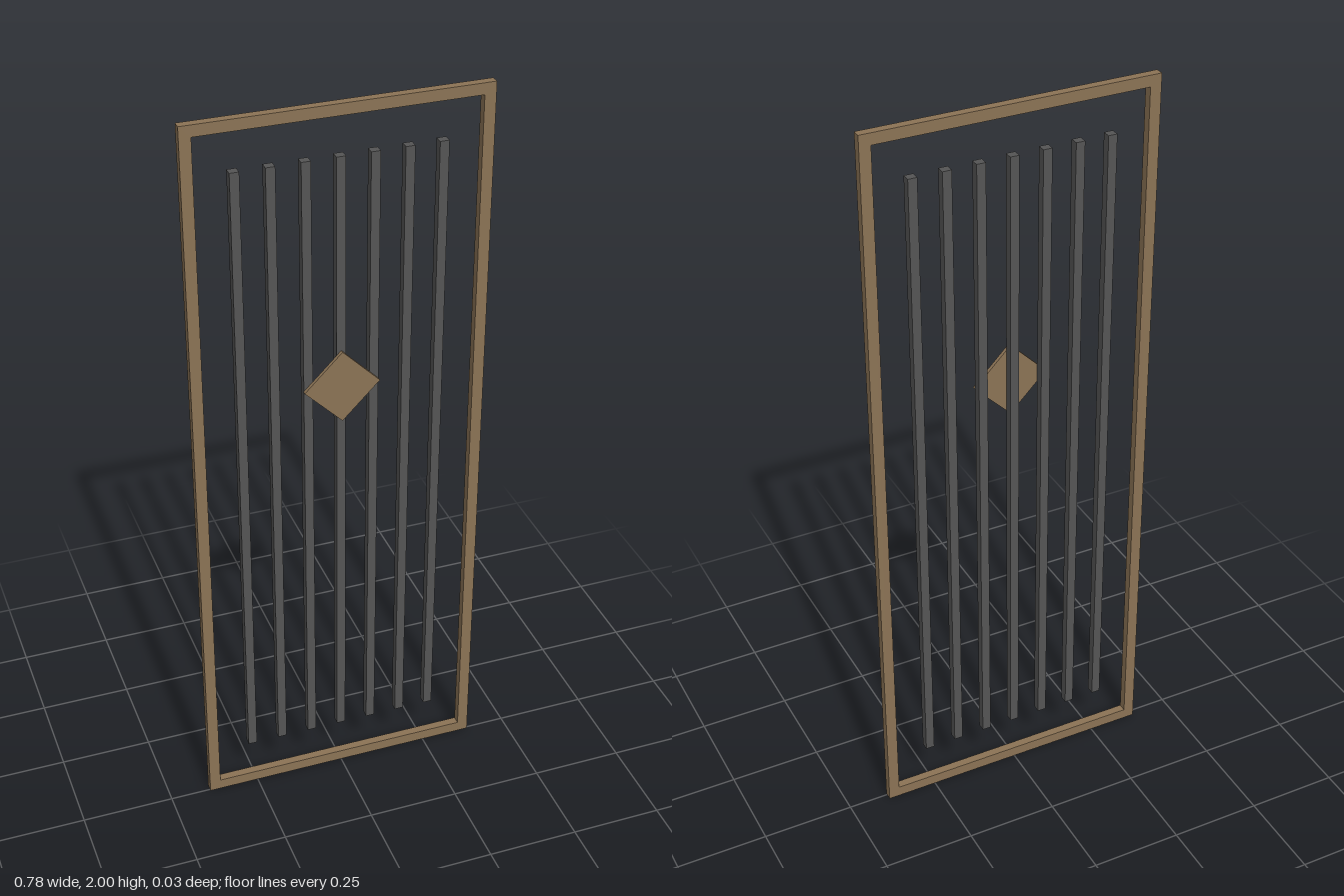
import * as THREE from 'three';

const WIDTH = 0.778, HEIGHT = 2, BORDER = 0.03;
const BACK = -0.018, DEPTH = 0.023;

// Closed rectangle, centred on x, as a list of corners
const rect = (w, y0, y1) => [[-w / 2, y0], [w / 2, y0], [w / 2, y1], [-w / 2, y1]]
  .map(([x, y]) => new THREE.Vector2(x, y));

export function createModel() {
  const model = new THREE.Group();
  model.name = 'barredPanel';
  const bronze = new THREE.MeshStandardMaterial({ color: 0x8b7355 });
  const iron = new THREE.MeshStandardMaterial({ color: 0x555555 });

  const add = (name, geometry, material, x, y, z) => {
    const mesh = new THREE.Mesh(geometry, material);
    mesh.name = name;
    mesh.position.set(x, y, z);
    model.add(mesh);
    return mesh;
  };

  // Outer frame: a rectangle with the opening cut out
  const outline = new THREE.Shape(rect(WIDTH, 0, HEIGHT));
  outline.holes.push(new THREE.Path(rect(WIDTH - 2 * BORDER, BORDER, HEIGHT - BORDER)));
  const frame = new THREE.ExtrudeGeometry(outline, { depth: DEPTH, bevelEnabled: false });
  add('frame', frame, bronze, 0, 0, BACK);

  // Seven evenly spaced upright bars
  const bar = new THREE.BoxGeometry(0.024, 1.73, DEPTH);
  for (let i = -3; i <= 3; i++) {
    add(`bar${i + 4}`, bar, iron, i * 0.087, 1.003, BACK + DEPTH / 2);
  }

  // Diamond plate on the front of the bars
  const side = 0.1 * Math.SQRT2;
  const diamond = add('diamondPlate', new THREE.BoxGeometry(side, side, 0.01), bronze, 0, 1.247, 0.01);
  diamond.rotation.z = Math.PI / 4;

  return model;
}
